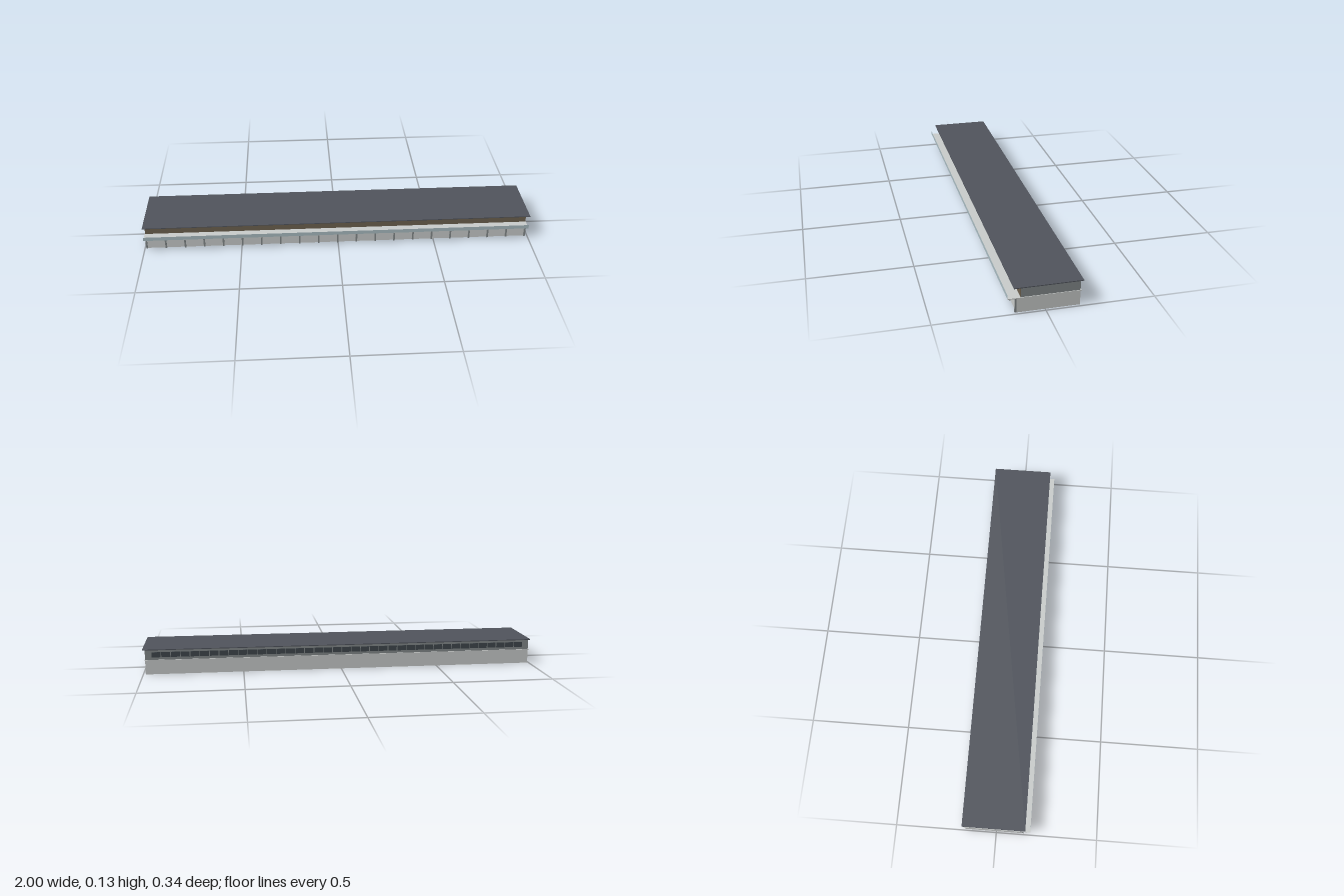
import * as THREE from 'three';

const mat = (name, color, side = THREE.FrontSide) => {
  const m = new THREE.MeshStandardMaterial({ color, side });
  m.name = name;
  return m;
};

export function createModel() {
  const model = new THREE.Group();
  model.name = 'longBuilding';

  const lightWall = mat('lightWall', 0xc9cccb, THREE.DoubleSide);
  const concrete = mat('paleConcrete', 0xc9cccb);
  const grey = mat('greyCladding', 0x83898a);
  const wood = mat('brownTimber', 0x6e6250);
  const roofing = mat('slateRoof', 0x50545c);
  const glass = mat('darkGlass', 0x3f464c);
  const railing = mat('paleBlueRailing', 0xa9bcc2, THREE.DoubleSide);

  // Box given by its minimum and maximum corners
  const box = (name, material, [x0, y0, z0], [x1, y1, z1], parent = model) => {
    const mesh = new THREE.Mesh(new THREE.BoxGeometry(x1 - x0, y1 - y0, z1 - z0), material);
    mesh.position.set((x0 + x1) / 2, (y0 + y1) / 2, (z0 + z1) / 2);
    mesh.name = name;
    parent.add(mesh);
    return mesh;
  };
  // Single-layer upright wall
  const wall = (name, w, h, x, y, z, turn, material = lightWall) => {
    const mesh = new THREE.Mesh(new THREE.PlaneGeometry(w, h), material);
    mesh.position.set(x, y, z);
    mesh.rotation.y = turn;
    mesh.name = name;
    model.add(mesh);
  };

  const L = -0.993, R = 0.988, mid = (L + R) / 2, len = R - L;

  // Ground floor: four walls, open underneath
  wall('lowerFrontWall', len, 0.07, mid, 0.035, 0.129, 0);
  wall('lowerBackWall', len, 0.07, mid, 0.035, -0.157, Math.PI);
  wall('lowerLeftWall', 0.286, 0.07, R, 0.035, -0.014, Math.PI / 2);
  wall('lowerRightWall', 0.286, 0.07, L, 0.035, -0.014, -Math.PI / 2);

  // Row of front pillars
  const pillars = new THREE.Group();
  pillars.name = 'frontPillars';
  model.add(pillars);
  for (let i = 0; i <= 20; i++) {
    const x = L + 0.004 + (i * (len - 0.008)) / 20;
    box('pillar', grey, [x - 0.004, 0, 0.1285], [x + 0.004, 0.07, 0.136], pillars);
  }

  // Floor slab with its front balcony and thin railing
  box('floorSlab', concrete, [-0.996, 0.07, -0.161], [0.991, 0.074, 0.168]);
  wall('balconyRailing', 1.987, 0.02, -0.0025, 0.081, 0.1684, 0, railing);

  // Upper storey with timber front
  box('upperStorey', grey, [L, 0.074, -0.157], [R, 0.126, 0.109]);
  box('timberFront', wood, [L, 0.075, 0.109], [R, 0.125, 0.111]);

  // Strip of rear windows
  const windows = new THREE.Group();
  windows.name = 'rearWindows';
  model.add(windows);
  const count = 40, step = 1.92 / count;
  for (let i = 0; i < count; i++) {
    const x = mid - 0.96 + i * step;
    box('rearWindow', glass, [x + 0.002, 0.087, -0.1585], [x + step - 0.002, 0.113, -0.1565], windows);
  }

  // Flat overhanging roof
  box('roof', roofing, [-1, 0.125, -0.167], [1, 0.129, 0.143]);

  return model;
}
